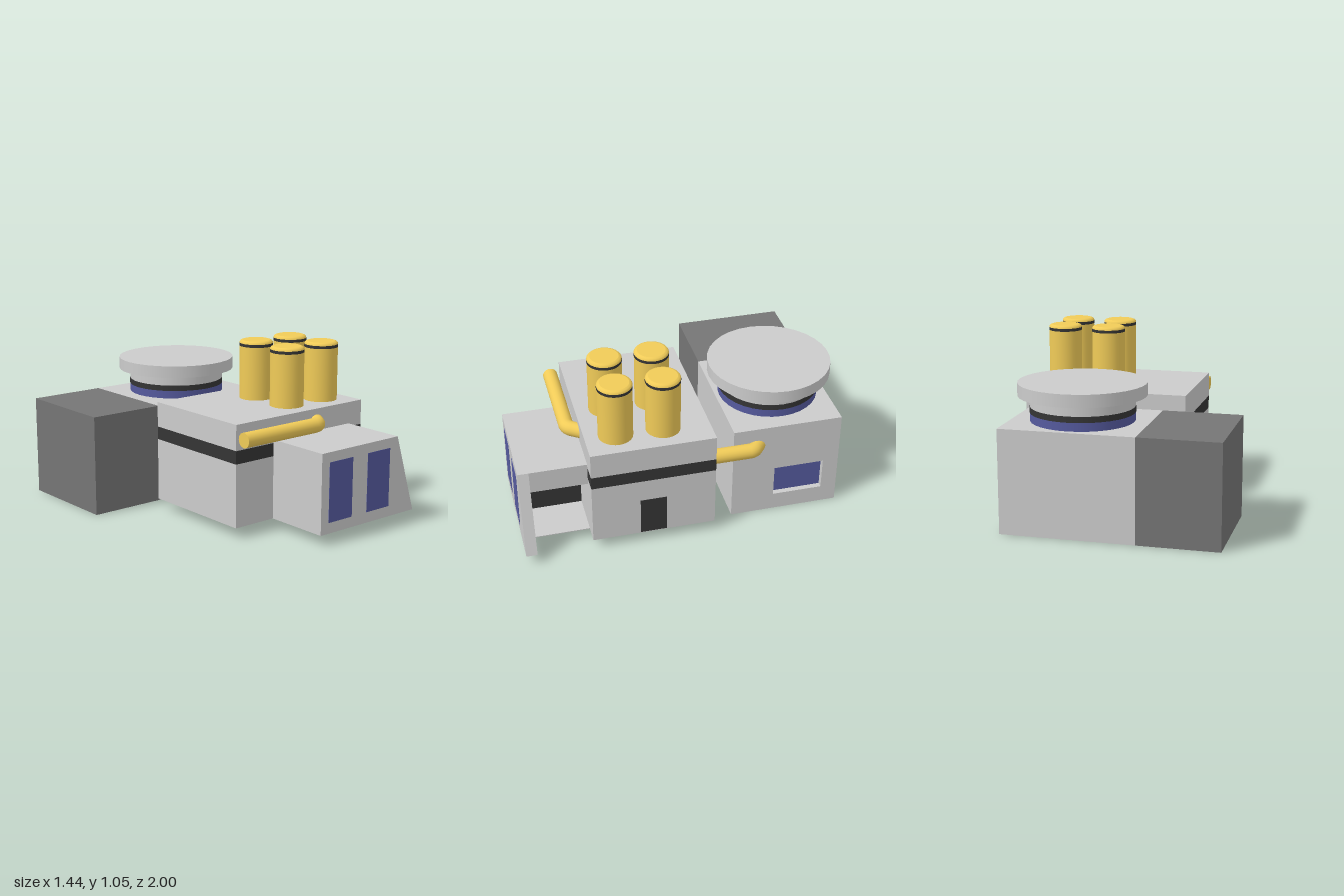
import * as THREE from 'three';

const mat = (color, extra = {}) => new THREE.MeshStandardMaterial({ color, ...extra });
const grey = mat(0xcccccc);
const dark = mat(0x757575);
const black = mat(0x353535);
const blue = mat(0x555a9e);
const gold = mat(0xf0cb58);

export function createModel() {
  const model = new THREE.Group();

  const add = (name, geometry, material, parent = model) => {
    const mesh = new THREE.Mesh(geometry, material);
    mesh.name = name;
    parent.add(mesh);
    return mesh;
  };
  // box given by its limits on each axis
  const box = (name, [x0, x1], [y0, y1], [z0, z1], material, parent) => {
    const mesh = add(name, new THREE.BoxGeometry(x1 - x0, y1 - y0, z1 - z0), material, parent);
    mesh.position.set((x0 + x1) / 2, (y0 + y1) / 2, (z0 + z1) / 2);
    return mesh;
  };
  const disc = (name, r, y0, y1, material, parent, segments = 32) => {
    const mesh = add(name, new THREE.CylinderGeometry(r, r, y1 - y0, segments), material, parent);
    mesh.position.y = (y0 + y1) / 2;
    return mesh;
  };

  // rear building: dark wing, grey hall, side wall with a recessed window
  const rear = new THREE.Group();
  rear.name = 'rearBuilding';
  model.add(rear);
  const rearZ = [-0.967, -0.294];
  box('darkWing', [-0.72, -0.235], [0, 0.62], rearZ, dark, rear);
  box('rearHall', [-0.235, 0.53], [0, 0.62], rearZ, grey, rear);
  const rect = (T, [a0, a1], [b0, b1]) =>
    new T().moveTo(a0, b0).lineTo(a1, b0).lineTo(a1, b1).lineTo(a0, b1).closePath();
  const wall = rect(THREE.Shape, [0.294, 0.967], [0, 0.62]);
  wall.holes.push(rect(THREE.Path, [0.56, 0.87], [0.11, 0.31]));
  const sideWall = add('rearSideWall',
    new THREE.ExtrudeGeometry(wall, { depth: 0.037, bevelEnabled: false }), grey, rear);
  sideWall.rotation.y = Math.PI / 2;
  sideWall.position.x = 0.53;
  box('rearWindow', [0.52, 0.533], [0.11, 0.31], [-0.87, -0.56], blue, rear);

  // round lookout on the rear roof
  const lookout = new THREE.Group();
  lookout.name = 'roundLookout';
  lookout.position.set(0.163, 0, -0.625);
  model.add(lookout);
  disc('glassRing', 0.306, 0.62, 0.67, blue, lookout);
  disc('blackRing', 0.308, 0.67, 0.705, black, lookout);
  disc('drum', 0.306, 0.705, 0.77, grey, lookout);
  disc('roofDisc', 0.376, 0.77, 0.845, grey, lookout);

  // main building with a black belt and a side door
  const main = new THREE.Group();
  main.name = 'mainBuilding';
  model.add(main);
  const mainX = [-0.343, 0.672], mainZ = [-0.157, 0.59];
  box('lowerWalls', mainX, [0.065, 0.45], mainZ, grey, main);
  box('blackBelt', mainX, [0.45, 0.53], mainZ, black, main);
  box('upperWalls', mainX, [0.53, 0.685], mainZ, grey, main);
  box('sideDoor', [0.66, 0.674], [0.07, 0.31], [0.14, 0.30], black, main);

  // front porch: roof, floor, black inner wall and the slanted front wall
  const porch = new THREE.Group();
  porch.name = 'frontPorch';
  model.add(porch);
  box('porchRoof', [-0.055, 0.565], [0.41, 0.55], [0.59, 0.935], grey, porch);
  box('porchBody', [-0.055, 0.29], [0.065, 0.41], [0.59, 0.935], grey, porch);
  box('porchInnerWall', [0.29, 0.3], [0.07, 0.41], [0.59, 0.935], black, porch);
  box('porchFloor', [0.29, 0.565], [0.065, 0.07], [0.59, 0.935], grey, porch);
  const front = new THREE.Shape([[-0.055, 0.065], [0.72, 0.065], [0.565, 0.55], [-0.055, 0.55]]
    .map(([x, y]) => new THREE.Vector2(x, y)));
  add('porchFrontWall',
    new THREE.ExtrudeGeometry(front, { depth: 0.066, bevelEnabled: false }), grey, porch)
    .position.z = 0.932;
  for (const x of [0.005, 0.315])
    box('frontWindow', [x, x + 0.187], [0.13, 0.49], [0.98, 1.0], blue, porch);

  // four chimneys with a black ring and a rounded cap
  const capProfile = [[0.104, 1.033], [0.102, 1.04], [0.096, 1.047], [0.085, 1.051], [0.085, 1.051], [0, 1.051]]
    .map(([r, y]) => new THREE.Vector2(r, y));
  for (const x of [0.215, 0.498]) for (const z of [0.122, 0.405]) {
    const chimney = new THREE.Group();
    chimney.name = 'chimney';
    chimney.position.set(x, 0, z);
    model.add(chimney);
    disc('stack', 0.103, 0.68, 1.015, gold, chimney);
    disc('blackRing', 0.104, 1.015, 1.033, black, chimney);
    add('cap', new THREE.LatheGeometry(capProfile, 32), gold, chimney);
  }

  // bent pipes: a long straight run, a tight bend and a short end
  const pipe = (name, y, points) => {
    const [start, bendStart, corner, bendEnd, end] =
      points.map(([x, z]) => new THREE.Vector3(x, y, z));
    const path = new THREE.CurvePath();
    path.add(new THREE.LineCurve3(start, bendStart));
    path.add(new THREE.QuadraticBezierCurve3(bendStart, corner, bendEnd));
    path.add(new THREE.LineCurve3(bendEnd, end));
    add(name, new THREE.TubeGeometry(path, 60, 0.045, 20, false), gold);
    const cap = add(name + 'End', new THREE.CircleGeometry(0.045, 20), gold);
    cap.position.copy(start);
    cap.lookAt(start.clone().multiplyScalar(2).sub(bendStart));
  };
  pipe('frontPipe', 0.604, [[-0.337, 0.65], [0.215, 0.65], [0.25, 0.65], [0.27, 0.62], [0.31, 0.56]]);
  pipe('linkPipe', 0.494, [[0.597, -0.15], [0.597, -0.385], [0.597, -0.41], [0.58, -0.425], [0.535, -0.46]]);

  return model;
}
